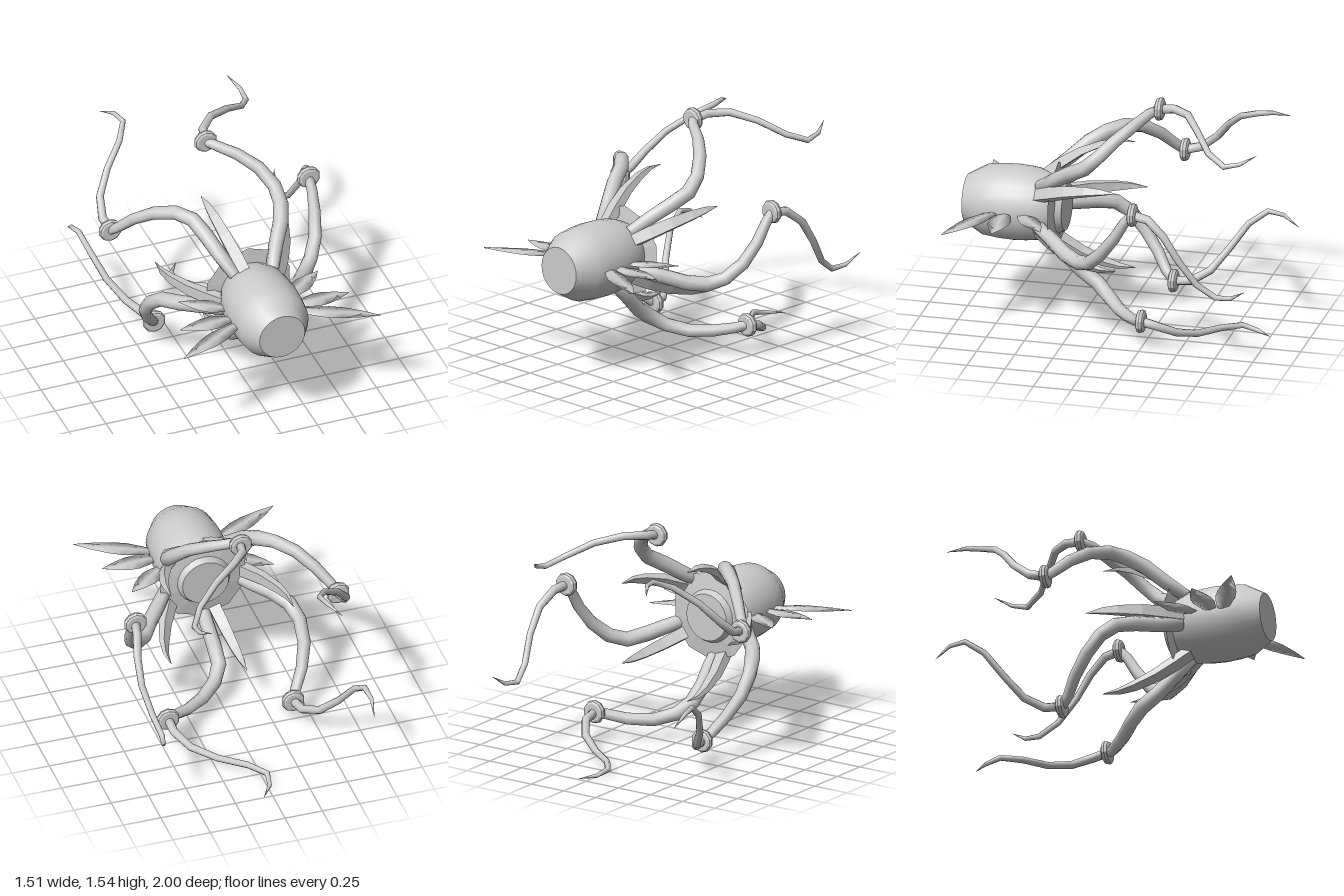
import * as THREE from 'three';

const grey = new THREE.MeshStandardMaterial({ color: 0xcccccc });
grey.name = 'grey';

const V = (p) => new THREE.Vector3(...p);

// Sweeps an elliptical section (half width, half height) along a polyline;
// phase turns the section, so four sides at 45 degrees give a rectangle
function sweep(path, sizes, sides, flat = false, phase = 0) {
  const pts = path.map(V), up = V([0, 1, 0]), pos = [], idx = [], n = pts.length;
  pts.forEach((p, i) => {
    const t = pts[Math.min(i + 1, n - 1)].clone().sub(pts[Math.max(i - 1, 0)]).normalize();
    const b = t.clone().cross(up).normalize();
    const u = t.clone().cross(b);
    for (let j = 0; j < sides; j++) {
      const a = (j / sides) * Math.PI * 2 + phase;
      const q = p.clone().addScaledVector(b, Math.cos(a) * sizes[i][0]).addScaledVector(u, Math.sin(a) * sizes[i][1]);
      pos.push(q.x, q.y, q.z);
    }
  });
  for (let i = 0; i < n - 1; i++) {
    for (let j = 0; j < sides; j++) {
      const k = (j + 1) % sides, a = i * sides + j, b = i * sides + k;
      idx.push(a, b, a + sides, b, b + sides, a + sides);
    }
  }
  // start cap
  for (let j = 1; j < sides - 1; j++) idx.push(0, j + 1, j);
  let g = new THREE.BufferGeometry();
  g.setAttribute('position', new THREE.Float32BufferAttribute(pos, 3));
  g.setIndex(idx);
  if (flat) g = g.toNonIndexed();
  g.computeVertexNormals();
  return g;
}

// Lathe about the z axis from [radius, z] pairs
function latheZ(profile, sides, flat = false) {
  let g = new THREE.LatheGeometry(profile.map(([r, z]) => new THREE.Vector2(r, z)), sides);
  g.rotateX(Math.PI / 2);
  if (flat) {
    g = g.toNonIndexed();
    g.computeVertexNormals();
  }
  return g;
}

function mesh(geometry, name, parent) {
  const m = new THREE.Mesh(geometry, grey);
  m.name = name;
  parent.add(m);
  return m;
}

export function createModel() {
  const root = new THREE.Group();
  root.name = 'tentacledCreature';
  const core = new THREE.Group();
  core.name = 'creature';
  core.position.set(0.009, 0.75, 0);
  root.add(core);

  // Barrel body with flat ends
  mesh(latheZ([[0.155, 0.345], [0.2, 0.43], [0.228, 0.5], [0.241, 0.6], [0.245, 0.68],
    [0.241, 0.77], [0.228, 0.875], [0.155, 1]], 24), 'body', core);
  mesh(new THREE.CircleGeometry(0.155, 24), 'frontCap', core).position.z = 1;
  const back = mesh(new THREE.CircleGeometry(0.155, 24), 'backCap', core);
  back.position.z = 0.345;
  back.rotation.y = Math.PI;

  // Thin collar around the rear of the body, tapering to its rim
  mesh(latheZ([[0.15, 0.38], [0.297, 0.403], [0.15, 0.426]], 10, true), 'collar', core);

  // Three flat leaf-shaped fins on each side
  const fins = [
    { base: [0.19, 0.755], tip: [0.67, 1.0], w: 0.064 },
    { base: [0.21, 0.695], tip: [0.575, 0.695], w: 0.072 },
    { base: [0.19, 0.6], tip: [0.475, 0.4], w: 0.066 },
  ];
  const leaf = [[0, 0.35], [0.2, 0.75], [0.38, 1], [0.55, 0.95], [0.78, 0.58], [1, 0.01]];
  for (const side of [1, -1]) {
    for (const { base, tip, w } of fins) {
      const path = leaf.map(([t]) => [
        side * (base[0] + (tip[0] - base[0]) * t), 0, base[1] + (tip[1] - base[1]) * t]);
      mesh(sweep(path, leaf.map(([t, s]) => [w * s, 0.011 - 0.008 * t]), 4),
        side > 0 ? 'leftFin' : 'rightFin', core);
    }
  }

  // Five curved, square-edged spikes sprouting behind the body
  const spike = sweep(
    [[0, 0.2, 0.5], [0, 0.28, 0.4], [0, 0.362, 0.28], [0, 0.425, 0.14], [0, 0.451, 0.04], [0, 0.453, -0.07]],
    [[0.036, 0.03], [0.039, 0.03], [0.036, 0.025], [0.029, 0.018], [0.019, 0.011], [0.001, 0.001]]
      .map((s) => s.map((d) => d * Math.SQRT2)), 4, true, Math.PI / 4);

  // Five jointed tentacles: thick arm, ring joint, thin hooked feeler
  const arm = sweep(
    [[0.13, 0.17, 0.49], [0.2, 0.255, 0.37], [0.275, 0.335, 0.26], [0.32, 0.4, 0.15], [0.31, 0.485, 0.06],
      [0.24, 0.58, -0.035], [0.13, 0.65, -0.13], [0.02, 0.695, -0.2], [-0.035, 0.712, -0.255]],
    [0.042, 0.048, 0.05, 0.049, 0.046, 0.042, 0.038, 0.034, 0.032].map((r) => [r, r]), 8);
  const feeler = sweep(
    [[-0.035, 0.712, -0.255], [-0.015, 0.73, -0.36], [0.08, 0.735, -0.47], [0.23, 0.69, -0.57],
      [0.375, 0.605, -0.68], [0.45, 0.555, -0.8], [0.447, 0.58, -0.9], [0.395, 0.628, -1]],
    [0.031, 0.029, 0.026, 0.023, 0.021, 0.019, 0.014, 0.001].map((r) => [r, r]), 8);
  const ring = latheZ([[0, -0.025], [0.058, -0.025], [0.071, -0.018], [0.078, 0],
    [0.071, 0.018], [0.058, 0.025], [0, 0.025]], 10, true);

  for (let i = 0; i < 5; i++) {
    const step = (i * Math.PI * 2) / 5;
    mesh(spike, 'spike', core).rotation.z = step + Math.PI / 10;
    const tentacle = new THREE.Group();
    tentacle.name = 'tentacle';
    tentacle.rotation.z = step;
    core.add(tentacle);
    mesh(arm, 'tentacleArm', tentacle);
    mesh(feeler, 'tentacleFeeler', tentacle);
    mesh(ring, 'tentacleJoint', tentacle).position.set(-0.037, 0.712, -0.255);
  }
  return root;
}
